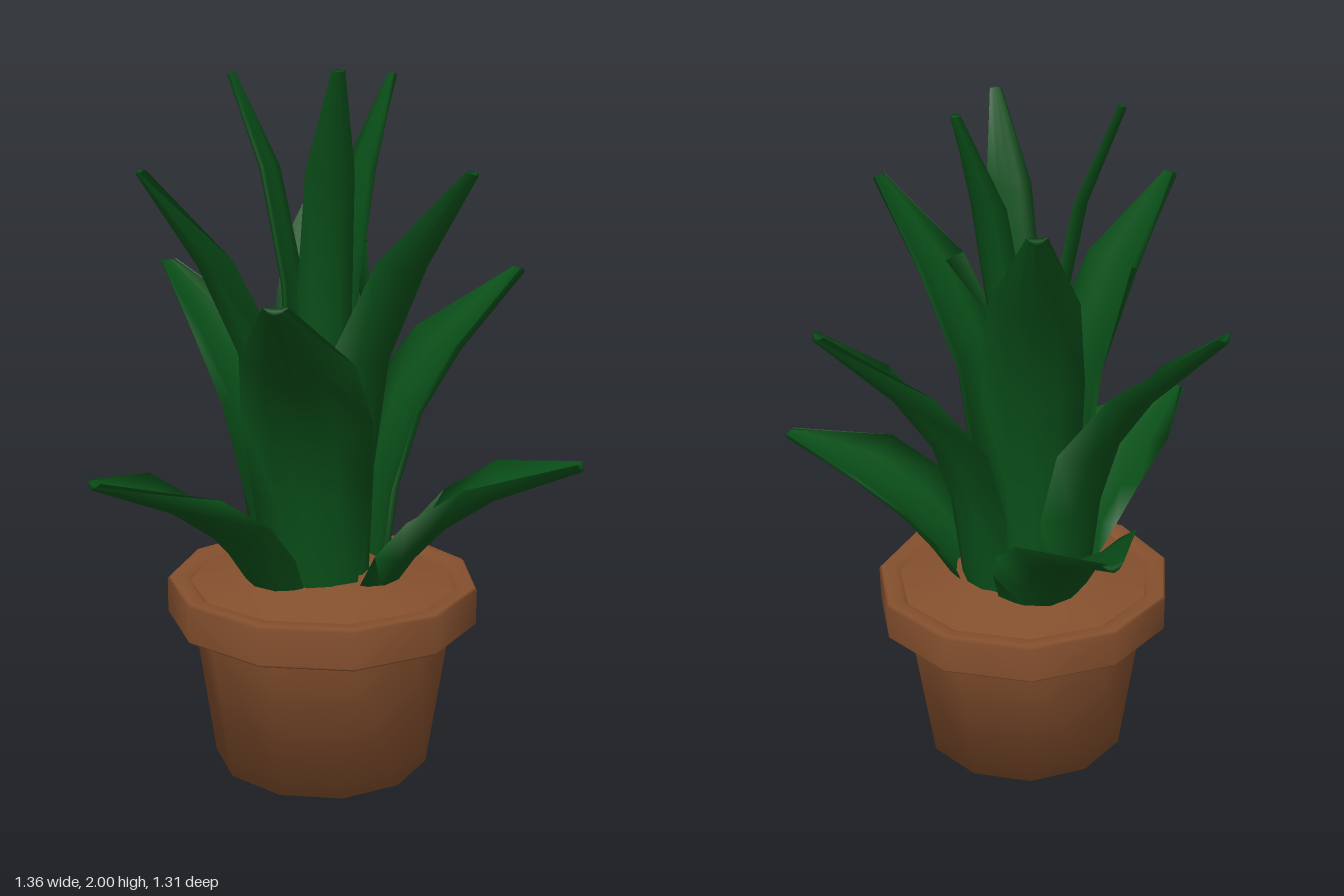
import * as THREE from 'three';

const SIDES = 11;

const clay = new THREE.MeshStandardMaterial({ color: 0x85502e });
const green = new THREE.MeshStandardMaterial({ color: 0x0a5019 });

// Each tier: three leaves around a centre; spine stations are [radius, height, width]
const TIERS = [
  { name: 'innerLeaf', angle: 99, centre: [0.04, 0.085], cup: 0.13, spine: [[0.075, 0.56, 0.13], [0.075, 1.0, 0.15], [0.1, 1.42, 0.155], [0.165, 1.74, 0.135], [0.268, 2.0, 0.035]] },
  { name: 'upperLeaf', angle: 55, centre: [0.02, 0.1], cup: 0.2, spine: [[0.16, 0.56, 0.2], [0.165, 0.9, 0.28], [0.21, 1.22, 0.3], [0.335, 1.49, 0.25], [0.505, 1.745, 0.055]] },
  { name: 'middleLeaf', angle: -1, centre: [0.042, 0.09], cup: 0.2, spine: [[0.19, 0.56, 0.26], [0.22, 0.83, 0.34], [0.285, 1.04, 0.37], [0.41, 1.22, 0.31], [0.63, 1.435, 0.065]] },
  { name: 'lowerLeaf', angle: 40, centre: [0.042, 0.093], cup: 0.2, spine: [[0.22, 0.56, 0.28], [0.28, 0.65, 0.34], [0.37, 0.75, 0.37], [0.51, 0.85, 0.35], [0.755, 0.96, 0.06]] },
];

function lathe(name, profile) {
  const points = profile.map(([r, y]) => new THREE.Vector2(r, y));
  const mesh = new THREE.Mesh(new THREE.LatheGeometry(points, SIDES, Math.PI / 2), clay);
  mesh.name = name;
  return mesh;
}

// Cupped leaf: a thin closed lens section swept along the spine
function leafGeometry(spine, cup) {
  const ring = [
    ...[-1, -0.5, 0, 0.5, 1].map((u) => [u, 1]),
    ...[0.5, 0, -0.5].map((u) => [u, -1]),
  ];
  const last = spine.length - 1;
  const stations = spine.map((s, i) => ({ s, i, thick: 0.012 }));
  stations.push({ s: spine[last], i: last, thick: 0 }); // closes the tip
  const positions = [];
  const index = [];
  for (const { s: [r, y, w], i, thick } of stations) {
    const a = spine[Math.max(i - 1, 0)];
    const b = spine[Math.min(i + 1, last)];
    const normal = new THREE.Vector2(-(b[1] - a[1]), b[0] - a[0]).normalize();
    for (const [u, side] of ring) {
      const lift = cup * w * u * u + side * thick * (1 - u * u);
      positions.push(r + normal.x * lift, y + normal.y * lift, (u * w) / 2);
    }
  }
  const n = ring.length;
  for (let i = 0; i < stations.length - 1; i++) {
    for (let j = 0; j < n; j++) {
      const a = i * n + j;
      const b = i * n + ((j + 1) % n);
      index.push(a, b, a + n, b, b + n, a + n);
    }
  }
  const geometry = new THREE.BufferGeometry();
  geometry.setAttribute('position', new THREE.Float32BufferAttribute(positions, 3));
  geometry.setIndex(index);
  geometry.computeVertexNormals();
  return geometry;
}

export function createModel() {
  const model = new THREE.Group();
  model.name = 'pottedPlant';

  // Tapered pot, rim and domed soil
  const pot = new THREE.Group();
  pot.name = 'pot';
  pot.position.set(0.045, 0, 0.102);
  pot.add(lathe('potBody', [[0, 0], [0.32, 0], [0.386, 0.45]]));
  pot.add(lathe('rim', [
    [0.37, 0.442], [0.45, 0.442], [0.458, 0.45], [0.458, 0.552],
    [0.45, 0.56], [0.41, 0.56], [0.39, 0.545],
  ]));
  pot.add(lathe('soil', [[0.4, 0.545], [0.27, 0.565], [0.13, 0.605], [0, 0.615]]));
  model.add(pot);

  // Four tiers of three leaves
  for (const { name, angle, centre, cup, spine } of TIERS) {
    const geometry = leafGeometry(spine, cup);
    for (let k = 0; k < 3; k++) {
      const leaf = new THREE.Mesh(geometry, green);
      leaf.name = `${name}${k + 1}`;
      leaf.position.set(centre[0], 0, centre[1]);
      leaf.rotation.y = -THREE.MathUtils.degToRad(angle + 120 * k);
      model.add(leaf);
    }
  }
  return model;
}
